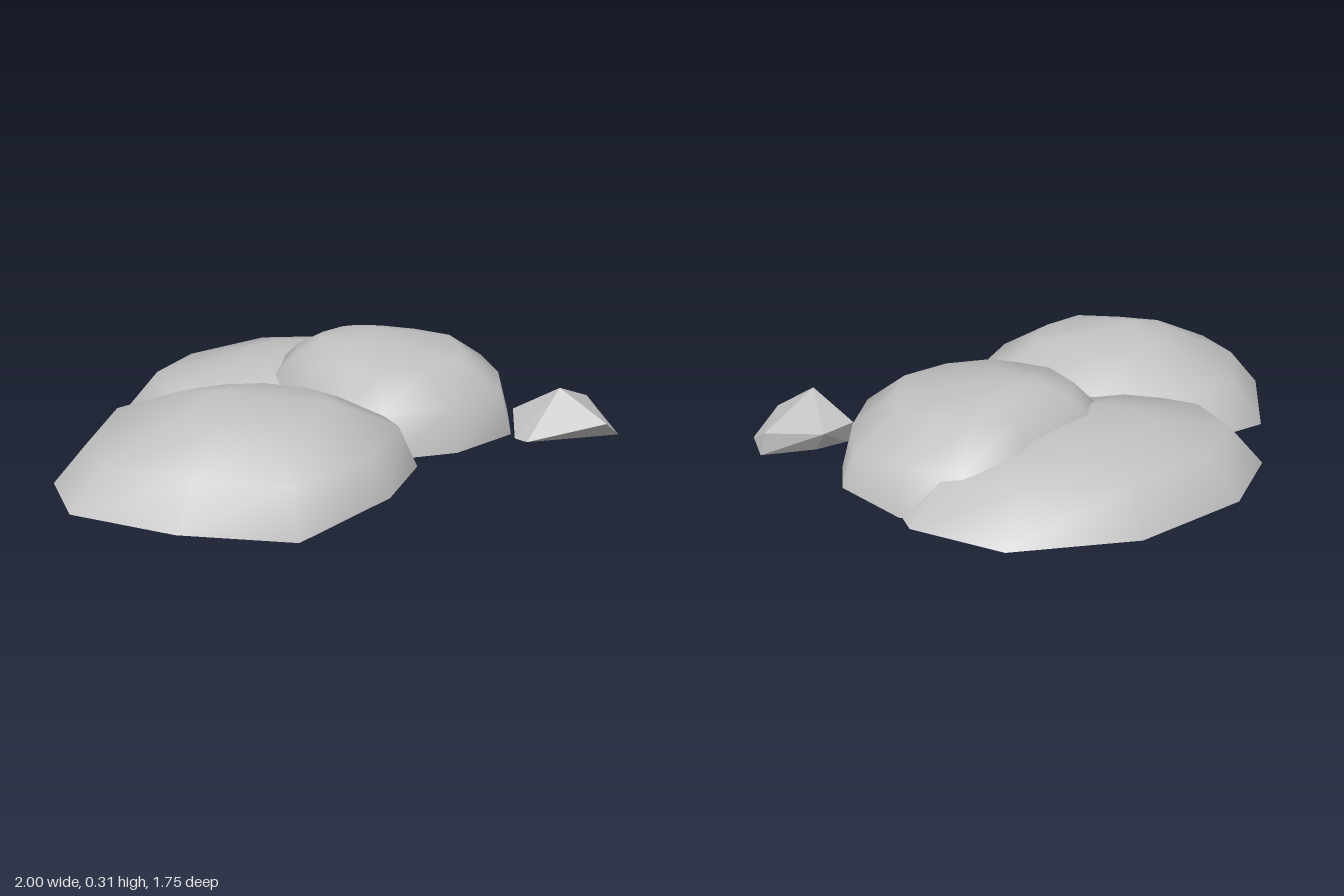
import * as THREE from 'three';
import { ConvexGeometry } from 'three/addons/geometries/ConvexGeometry.js';

const stone = new THREE.MeshStandardMaterial({ color: 0xc0c0c0 });
stone.name = 'grey stone';

// Smooth dome: the outline shrinks about a centre through rings of [scale, height, shiftX, shiftZ].
function domeGeometry(outline, centre, peak, rings) {
  const n = outline.length;
  const points = outline.flatMap(([x, z, y = 0]) => [x, y, z]);
  const index = [];
  for (const [scale, y, dx, dz] of rings) {
    for (const [x, z] of outline) {
      points.push(centre[0] + (x - centre[0]) * scale + dx, y, centre[1] + (z - centre[1]) * scale + dz);
    }
  }
  const tip = points.length / 3;
  points.push(...peak);
  for (let r = 0; r <= rings.length; r++) {
    for (let i = 0; i < n; i++) {
      const a = r * n + i;
      const b = r * n + (i + 1) % n;
      if (r === rings.length) index.push(a, b, tip);
      else index.push(a, b, b + n, a, b + n, a + n);
    }
  }
  const geometry = new THREE.BufferGeometry();
  geometry.setAttribute('position', new THREE.Float32BufferAttribute(points, 3));
  geometry.setIndex(index);
  geometry.computeVertexNormals();
  return geometry;
}

// Underside: a fan from the centre to the rim.
function baseGeometry(outline, centre) {
  const points = [];
  outline.forEach(([x, z, y = 0], i) => {
    const [nx, nz, ny = 0] = outline[(i + 1) % outline.length];
    points.push(nx, ny, nz, x, y, z, centre[0], 0, centre[1]);
  });
  const geometry = new THREE.BufferGeometry();
  geometry.setAttribute('position', new THREE.Float32BufferAttribute(points, 3));
  geometry.computeVertexNormals();
  return geometry;
}

function boulder(name, outline, centre, peak, rings) {
  const group = new THREE.Group();
  group.name = name;
  const dome = new THREE.Mesh(domeGeometry(outline, centre, peak, rings), stone);
  dome.name = name + 'Dome';
  const base = new THREE.Mesh(baseGeometry(outline, centre), stone);
  base.name = name + 'Base';
  group.add(dome, base);
  return group;
}

export function createModel() {
  const model = new THREE.Group();
  model.name = 'boulderCluster';

  // Outlines are [x, z, optional height], running back, left, front, right.
  model.add(boulder('frontBoulder', [
    [-0.42, -0.22], [-0.62, -0.21], [-0.8, -0.17], [-1, 0.2, 0.02], [-1, 0.47, 0.02], [-0.73, 0.69],
    [-0.41, 0.875], [-0.05, 0.72, 0.025], [0.175, 0.45], [0.17, 0.33], [0.13, 0.1], [-0.13, -0.14],
  ], [-0.48, 0.31], [-0.48, 0.305, 0.31],
  [[0.85, 0.15, 0.03, 0.01], [0.46, 0.255, 0.06, 0.04]]));

  model.add(boulder('rightBoulder', [
    [0.52, -0.56], [0.3, -0.56], [-0.08, -0.38], [-0.18, -0.17], [-0.15, 0.1], [-0.02, 0.25],
    [0.1, 0.36], [0.36, 0.385], [0.63, 0.285], [0.75, 0.05], [0.81, -0.21, 0.04], [0.68, -0.41],
  ], [0.24, -0.1], [0.16, 0.309, -0.16],
  [[0.92, 0.155, 0, 0], [0.65, 0.262, -0.01, 0.01], [0.26, 0.303, -0.05, -0.07]]));

  model.add(boulder('backBoulder', [
    [0.05, -0.88, 0.02], [-0.38, -0.72], [-0.615, -0.48], [-0.615, -0.2], [-0.4, 0.05],
    [0, 0.1], [0.5, 0], [0.67, -0.35], [0.67, -0.5], [0.45, -0.76],
  ], [0.03, -0.36], [0.03, 0.21, -0.36],
  [[0.8, 0.15, 0, 0], [0.35, 0.202, 0, 0]]));

  // Small faceted stone beside the cluster, overhanging at the front.
  const pebble = new THREE.Mesh(new ConvexGeometry([
    [0.77, 0.185, 0.37], [0.78, 0.07, 0.19], [0.98, 0.09, 0.23], [1, 0.01, 0.23],
    [0.99, 0, 0.43], [0.88, 0.08, 0.51], [0.64, 0, 0.38], [0.62, 0, 0.33],
    [0.66, 0.08, 0.24], [0.68, 0, 0.26], [0.8, 0, 0.23],
  ].map((p) => new THREE.Vector3(...p))), stone);
  pebble.name = 'pebble';
  model.add(pebble);

  return model;
}
